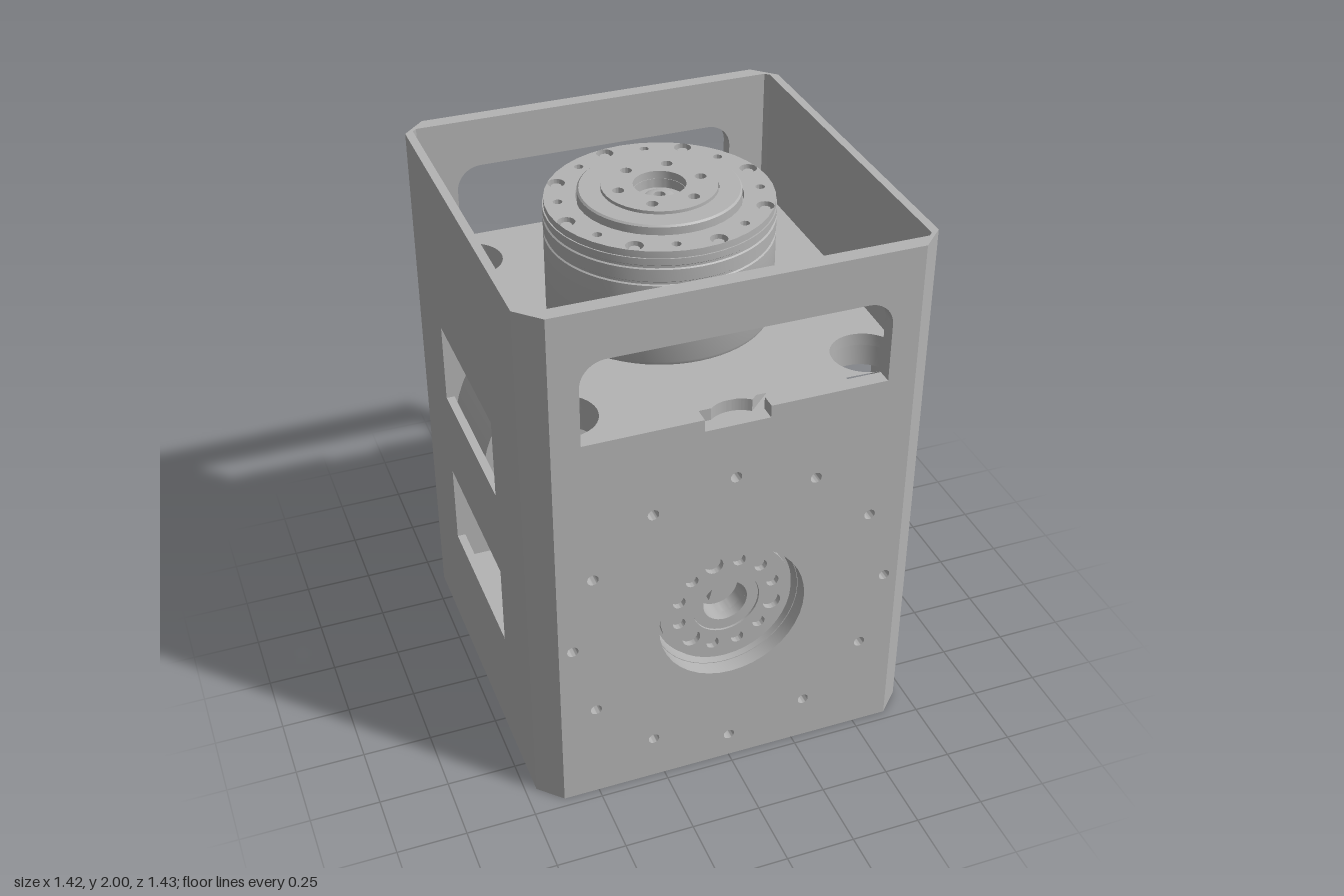
import * as THREE from 'three';
import { toCreasedNormals } from 'three/addons/utils/BufferGeometryUtils.js';

const grey = new THREE.MeshStandardMaterial({ color: 0xb3b3b3 });
grey.name = 'machinedGrey';

function add(parent, name, geo) {
  const mesh = new THREE.Mesh(geo, grey);
  mesh.name = name;
  parent.add(mesh);
  return mesh;
}

const circle = (x, y, r, T = THREE.Path) => new T().absarc(x, y, r, 0, Math.PI * 2, false);

// n holes evenly spaced on a circle
function ringHoles(shape, n, radius, r, startDeg = 0, cy = 0) {
  for (let i = 0; i < n; i++) {
    const a = THREE.MathUtils.degToRad(startDeg + i * 360 / n);
    shape.holes.push(circle(radius * Math.cos(a), cy + radius * Math.sin(a), r));
  }
}

// extrude from z0 to z1
function plate(shape, z0, z1) {
  const g = new THREE.ExtrudeGeometry(shape, { depth: z1 - z0, bevelEnabled: false, curveSegments: 20 });
  g.translate(0, 0, z0);
  return toCreasedNormals(g, 0.6);
}

// same, lying flat: shape y points to -z, depth goes up
const flatPlate = (shape, y0, y1) => plate(shape, y0, y1).rotateX(-Math.PI / 2);

const turned = (pts) => toCreasedNormals(
  new THREE.LatheGeometry(pts.map(p => new THREE.Vector2(p[0], p[1])), 64), 0.5);

function rect(x0, y0, x1, y1, T = THREE.Path) {
  return new T([[x0, y0], [x1, y0], [x1, y1], [x0, y1]].map(p => new THREE.Vector2(...p)));
}

const CY = 0.68; // height of the horizontal drives

// wall with rounded window, drive opening and bolt circle
function faceWall() {
  const s = rect(-0.63, 0, 0.63, 2, THREE.Shape);
  const w = new THREE.Path();
  w.moveTo(-0.53, 1.515);
  w.lineTo(-0.115, 1.515);
  w.lineTo(-0.115, 1.47);
  w.lineTo(0.115, 1.47);
  w.lineTo(0.115, 1.515);
  w.lineTo(0.53, 1.515);
  w.absarc(0.44, 1.73, 0.09, 0, Math.PI / 2, false);
  w.absarc(-0.44, 1.73, 0.09, Math.PI / 2, Math.PI, false);
  w.closePath();
  s.holes.push(w, circle(0, CY, 0.27));
  ringHoles(s, 12, 0.58, 0.02, 0, CY);
  return plate(s, 0.66, 0.715);
}

// wall with two square windows
function sideWall() {
  const s = rect(-0.635, 0, 0.635, 2, THREE.Shape);
  s.holes.push(rect(-0.315, 0.45, 0.315, 0.76), rect(-0.315, 1.09, 0.315, 1.39));
  return plate(s, 0.68, 0.71).rotateY(Math.PI / 2);
}

// horizontal drive, axis along z
function horizontalDrive() {
  const g = new THREE.Group();
  g.name = 'horizontalDrive';
  g.position.y = CY;
  add(g, 'driveBody', turned([[0, 0.14], [0.47, 0.14], [0.47, 0.27], [0.61, 0.27], [0.61, 0.659],
    [0.268, 0.659], [0.268, 0.56], [0, 0.56]]).rotateX(Math.PI / 2));
  add(g, 'outputBacking', turned([[0.256, 0.56], [0.256, 0.632], [0.082, 0.632], [0.082, 0.56]])
    .rotateX(Math.PI / 2));
  const disc = circle(0, 0, 0.245, THREE.Shape);
  disc.holes.push(circle(0, 0, 0.125));
  for (let i = 0; i < 12; i++) {
    const a = THREE.MathUtils.degToRad(15 + 30 * i);
    disc.holes.push(circle(0.18 * Math.cos(a), 0.18 * Math.sin(a), i % 4 === 3 ? 0.033 : 0.023));
  }
  add(g, 'outputDisc', plate(disc, 0.61, 0.655));
  const hub = circle(0, 0, 0.124, THREE.Shape);
  hub.holes.push(circle(0, 0, 0.082));
  add(g, 'outputHub', plate(hub, 0.61, 0.648));
  const key = add(g, 'shaftKey', new THREE.BoxGeometry(0.055, 0.085, 0.04));
  key.position.z = 0.57;
  key.rotation.z = -0.25;
  // bolt heads on the rear of the flange
  for (let i = 0; i < 12; i++) {
    const a = (i + 0.5) * Math.PI / 6;
    const b = add(g, 'flangeBolt', new THREE.CylinderGeometry(0.02, 0.02, 0.02, 16).rotateX(Math.PI / 2));
    b.position.set(0.54 * Math.cos(a), 0.54 * Math.sin(a), 0.265);
  }
  // cable connectors on the rim
  for (const y of [-0.01, -0.18]) {
    const c = add(g, 'connector', new THREE.BoxGeometry(0.06, 0.07, 0.05));
    c.position.set(0.46, y, 0.17);
  }
  return g;
}

// vertical drive on the shelf
function verticalDrive() {
  const g = new THREE.Group();
  g.name = 'verticalDrive';
  add(g, 'motorBody', turned([[0, 1.33], [0.28, 1.33], [0.285, 1.335], [0.285, 1.45], [0.385, 1.51],
    [0.395, 1.53], [0.395, 1.82], [0.39, 1.824], [0.39, 1.832], [0.395, 1.836],
    [0.395, 1.88], [0.39, 1.884], [0.39, 1.892], [0.395, 1.896], [0.395, 1.92], [0, 1.92]]));
  const flange = circle(0, 0, 0.391, THREE.Shape);
  flange.holes.push(circle(0, 0, 0.284));
  ringHoles(flange, 8, 0.36, 0.03, 11.5);
  ringHoles(flange, 8, 0.344, 0.016, 33.5);
  add(g, 'topFlange', flatPlate(flange, 1.919, 1.945));
  for (let i = 0; i < 8; i++) {
    const a = THREE.MathUtils.degToRad(11.5 + 45 * i);
    const b = add(g, 'flangeBolt', new THREE.CylinderGeometry(0.018, 0.018, 0.015, 20));
    b.position.set(0.36 * Math.cos(a), 1.927, -0.36 * Math.sin(a));
  }
  add(g, 'outputRing', turned([[0.278, 1.915], [0.278, 1.97], [0.272, 1.976], [0.2, 1.976],
    [0.2, 1.958], [0.088, 1.958], [0.088, 1.925]]));
  const face = circle(0, 0, 0.198, THREE.Shape);
  face.holes.push(circle(0, 0, 0.09));
  ringHoles(face, 6, 0.147, 0.02);
  add(g, 'outputFace', flatPlate(face, 1.95, 1.986));
  add(g, 'centreHub', turned([[0.05, 1.91], [0.05, 1.94], [0.04, 1.945], [0.02, 1.945], [0.02, 1.925], [0, 1.925]]));
  return g;
}

// shelf outline, optionally with round pockets along the edges
function shelfShape(pockets) {
  const s = rect(-0.68, -0.66, 0.68, 0.66, THREE.Shape);
  let out = s;
  if (pockets) {
    out = new THREE.Shape();
    const corners = [[0.68, -0.66], [0.68, 0.66], [-0.68, 0.66], [-0.68, -0.66]];
    corners.forEach(([x, y], k) => {
      if (k === 0) out.moveTo(x, y); else out.lineTo(x, y);
      const a = k * Math.PI / 2, c = k % 2 ? 0.75 : 0.753;
      const t = Math.acos((c - (k % 2 ? 0.66 : 0.68)) / 0.115);
      out.absarc(c * Math.round(Math.cos(a)), c * Math.round(Math.sin(a)), 0.115,
        a + Math.PI + t, a + Math.PI - t, true);
    });
    out.closePath();
  }
  for (const x of [-0.535, 0.535]) for (const y of [-0.535, 0.535]) out.holes.push(circle(x, y, 0.12));
  return out;
}

export function createModel() {
  const model = new THREE.Group();
  model.name = 'driveHousing';

  // front and back halves, left and right walls
  for (const turn of [0, Math.PI]) {
    const half = new THREE.Group();
    half.name = turn ? 'backHalf' : 'frontHalf';
    half.rotation.y = turn;
    add(half, 'faceWall', faceWall());
    add(half, 'sideWall', sideWall());
    half.add(horizontalDrive());
    model.add(half);
  }

  // chamfered corner posts
  for (const sx of [-1, 1]) for (const sz of [-1, 1]) {
    const pts = [[0.63, 0.715], [0.71, 0.635], [0.68, 0.635], [0.68, 0.645], [0.665, 0.66], [0.63, 0.66]];
    const post = new THREE.Shape(pts.map(([x, z]) => new THREE.Vector2(sx * x, sz * z)));
    add(model, 'cornerPost', flatPlate(post, 0, 2));
  }

  // floor and shelf
  add(model, 'floor', new THREE.BoxGeometry(1.36, 0.06, 1.32)).position.y = 0.03;
  add(model, 'shelfBase', flatPlate(shelfShape(false), 1.391, 1.47));
  add(model, 'shelfTop', flatPlate(shelfShape(true), 1.47, 1.515));
  model.add(verticalDrive());
  return model;
}
